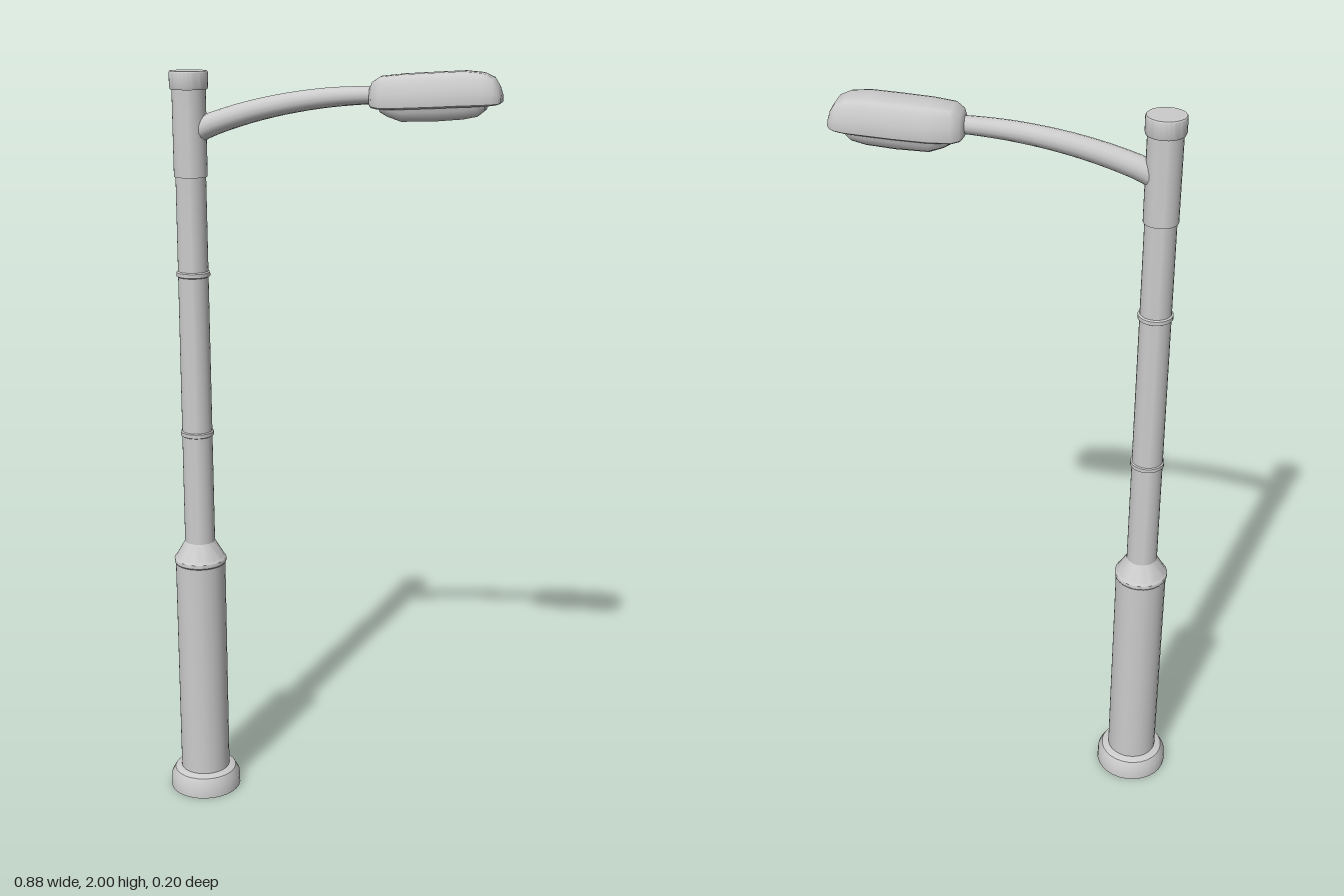
import * as THREE from 'three';
import { toCreasedNormals } from 'three/addons/utils/BufferGeometryUtils.js';

const POLE_X = -0.345;
const material = new THREE.MeshStandardMaterial({ color: 0xcccccc });

function part(name, geometry, crease = 0.6) {
  const mesh = new THREE.Mesh(toCreasedNormals(geometry, crease), material);
  mesh.name = name;
  return mesh;
}

// Turned part around the pole axis, profile as [radius, y] from bottom to top
function turned(name, profile) {
  const points = profile.map(([r, y]) => new THREE.Vector2(r, y));
  const mesh = part(name, new THREE.LatheGeometry(points, 28));
  mesh.position.x = POLE_X;
  return mesh;
}

// Skin over a row of closed rings running along +x, with capped ends
function loft(rings) {
  const n = rings[0].length;
  const positions = rings.flat().flatMap((p) => [p.x, p.y, p.z]);
  const index = [];
  for (let i = 0; i < rings.length - 1; i++) {
    for (let j = 0; j < n; j++) {
      const a = i * n + j, b = i * n + (j + 1) % n;
      index.push(a, b, b + n, a, b + n, a + n);
    }
  }
  const last = (rings.length - 1) * n;
  for (let j = 1; j < n - 1; j++) {
    index.push(0, j + 1, j, last, last + j, last + j + 1);
  }
  const geometry = new THREE.BufferGeometry();
  geometry.setAttribute('position', new THREE.Float32BufferAttribute(positions, 3));
  geometry.setIndex(index);
  return geometry;
}

// Mirrors a half section of [height, width] pairs and places it at each station
// [x, bottom, top, halfWidth]
function sectionLoft(half, stations) {
  const mirrored = half.slice(1, -1).reverse().map(([h, w]) => [h, -w]);
  const section = [...half, ...mirrored];
  return loft(stations.map(([x, bottom, top, width]) =>
    section.map(([h, w]) => new THREE.Vector3(x, bottom + h * (top - bottom), w * width))));
}

// Curved arm that thins towards the lamp
function armGeometry() {
  const curve = new THREE.CatmullRomCurve3([
    [-0.345, 1.832], [-0.3, 1.856], [-0.2, 1.89], [-0.1, 1.914],
    [0, 1.93], [0.08, 1.937], [0.15, 1.94],
  ].map(([x, y]) => new THREE.Vector3(x, y, 0)));
  const rings = [];
  for (let i = 0; i <= 20; i++) {
    const t = i / 20;
    const p = curve.getPoint(t), d = curve.getTangent(t);
    const r = THREE.MathUtils.lerp(0.031, 0.021, t);
    const ring = [];
    for (let j = 0; j < 14; j++) {
      const a = (j / 14) * Math.PI * 2, u = Math.cos(a) * r;
      ring.push(new THREE.Vector3(p.x - d.y * u, p.y + d.x * u, Math.sin(a) * r));
    }
    rings.push(ring);
  }
  return loft(rings);
}

export function createModel() {
  const group = new THREE.Group();

  // Foot, wide lower column and sloped shoulder
  group.add(turned('foot', [
    [0, 0], [0.098, 0], [0.097, 0.035], [0.086, 0.055], [0.07, 0.062], [0, 0.062]]));
  group.add(turned('lowerColumn', [
    [0.068, 0.055], [0.068, 0.68], [0.071, 0.684], [0.071, 0.694], [0.066, 0.7],
    [0.046, 0.735], [0.04, 0.745]]));

  // Slim shaft with two joint collars
  group.add(turned('shaft', [[0.041, 0.735], [0.039, 1.74]]));
  for (const y of [1.05, 1.48]) {
    group.add(turned('collar', [
      [0.039, y - 0.008], [0.044, y - 0.005], [0.044, y + 0.005], [0.039, y + 0.008]]));
  }

  // Top sleeve carrying the arm, and the cap
  group.add(turned('sleeve', [[0.038, 1.73], [0.043, 1.73], [0.043, 1.95]]));
  group.add(turned('cap', [
    [0.04, 1.947], [0.047, 1.947], [0.049, 1.953], [0.049, 1.989], [0.047, 1.992], [0, 1.992]]));

  group.add(part('arm', armGeometry(), 0.8));

  // Lamp housing
  const housing = [
    [1, 0], [0.99, 0.45], [0.94, 0.68], [0.8, 0.82], [0.45, 0.96], [0.2, 1],
    [0.05, 0.98], [0, 0.88], [0, 0]];
  group.add(part('lampHousing', sectionLoft(housing, [
    [0.118, 1.917, 1.958, 0.027], [0.125, 1.911, 1.972, 0.043], [0.145, 1.908, 1.985, 0.055],
    [0.2, 1.909, 1.991, 0.062], [0.28, 1.913, 1.996, 0.064], [0.35, 1.917, 2, 0.063],
    [0.395, 1.919, 1.996, 0.06], [0.42, 1.921, 1.985, 0.054], [0.433, 1.923, 1.965, 0.045],
    [0.44, 1.926, 1.945, 0.034]]), 0.7));

  // Lens bulging below the housing
  const lens = [[1, 0], [1, 1], [0.55, 0.93], [0.15, 0.78], [0, 0.6], [0, 0]];
  group.add(part('lampLens', sectionLoft(lens, [
    [0.145, 1.9, 1.918, 0.034], [0.165, 1.89, 1.918, 0.046], [0.2, 1.879, 1.918, 0.053],
    [0.28, 1.881, 1.922, 0.054], [0.35, 1.887, 1.925, 0.053], [0.385, 1.894, 1.925, 0.047],
    [0.402, 1.908, 1.925, 0.036]]), 0.6));

  return group;
}
